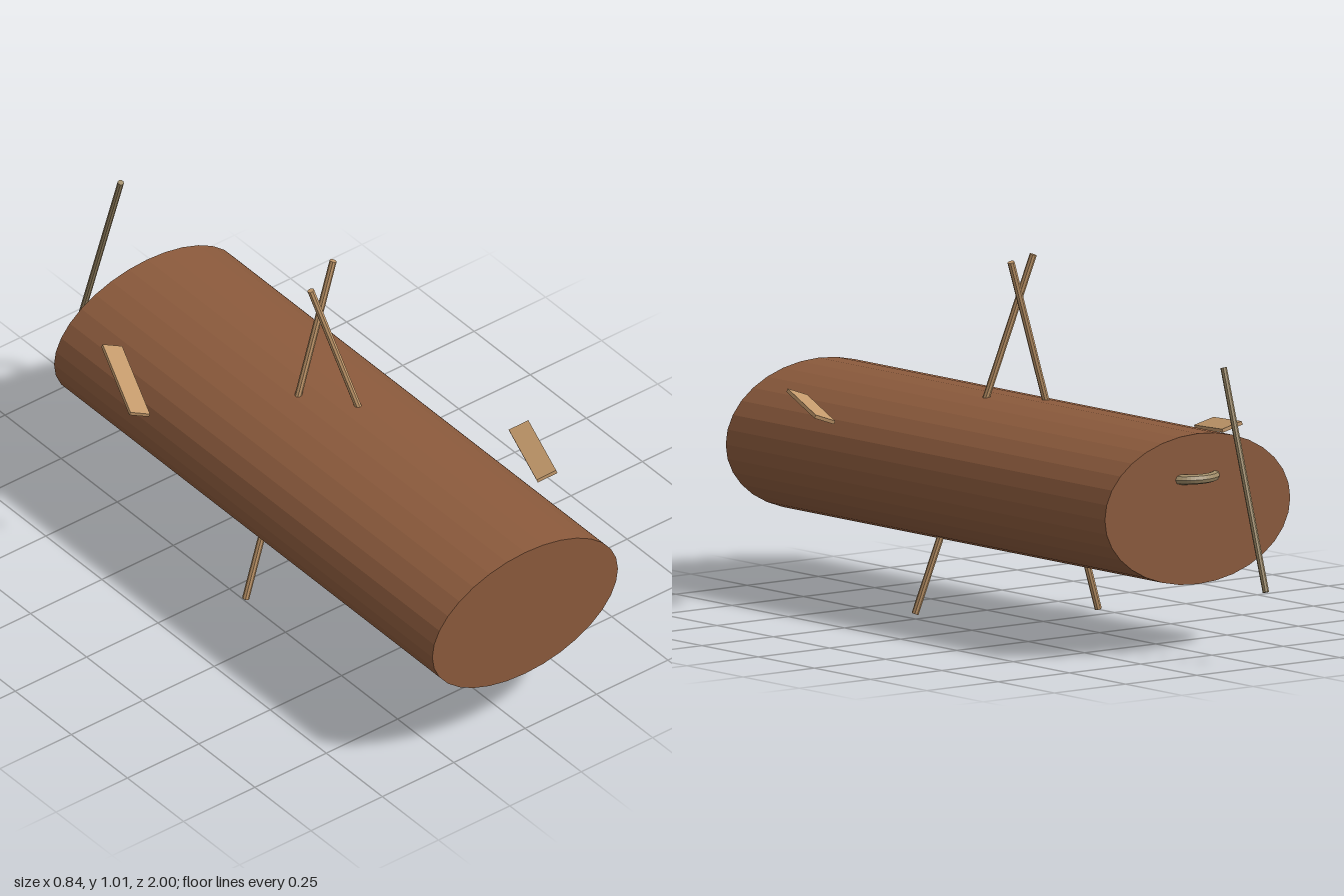
import * as THREE from 'three';

const material = (color) => new THREE.MeshStandardMaterial({ color, flatShading: true });
const bark = material(0x8b5a3c);
const wood = material(0xc49a6c);
const paleWood = material(0xa08c68);

// Straight round stick between two points
function stick(name, from, to, radius, mat) {
  const a = new THREE.Vector3(...from);
  const b = new THREE.Vector3(...to);
  const dir = b.clone().sub(a);
  const mesh = new THREE.Mesh(new THREE.CylinderGeometry(radius, radius, dir.length(), 8), mat);
  mesh.position.copy(a).add(b).multiplyScalar(0.5);
  mesh.quaternion.setFromUnitVectors(new THREE.Vector3(0, 1, 0), dir.normalize());
  mesh.name = name;
  return mesh;
}

// Thin tilted board, turned half round for the other side
function plank(name, position, turn) {
  const along = new THREE.Vector3(-0.105, 0.031, 0.258).normalize();
  const up = along.clone().cross(new THREE.Vector3(0.054, 0.02, 0.02)).normalize();
  const across = up.clone().cross(along);
  const geometry = new THREE.BoxGeometry(0.06, 0.01, 0.28);
  geometry.applyMatrix4(new THREE.Matrix4().makeBasis(across, up, along));
  const mesh = new THREE.Mesh(geometry, wood);
  mesh.position.set(...position);
  mesh.rotation.y = turn;
  mesh.name = name;
  return mesh;
}

export function createModel() {
  const group = new THREE.Group();

  // Oval log lying along z
  const logGeometry = new THREE.CylinderGeometry(1, 1, 1.686, 32);
  logGeometry.rotateX(Math.PI / 2);
  logGeometry.scale(0.325, 0.21, 1);
  const log = new THREE.Mesh(logGeometry, bark);
  log.position.set(0, 0.4, 0.157);
  log.name = 'log';
  group.add(log);

  // Crossed poles through the log
  group.add(stick('crossedPoleFront', [0.205, 0.003, 0.31], [-0.05, 1.005, 0.108], 0.01, wood));
  group.add(stick('crossedPoleBack', [-0.244, 0.003, 0.065], [0.082, 1.005, 0.04], 0.01, wood));

  // Boards beside the log
  group.add(plank('leftBoard', [0.342, 0.558, 0.6], 0));
  group.add(plank('rightBoard', [-0.342, 0.558, -0.345], Math.PI));

  // Loose pole behind the log
  group.add(stick('rearPole', [0, 0.205, -0.99], [0, 0.808, -0.802], 0.009, paleWood));

  // Curved handle on the back end
  const arc = THREE.MathUtils.degToRad(110);
  const handleGeometry = new THREE.TorusGeometry(0.083, 0.014, 8, 16, arc);
  handleGeometry.rotateZ((Math.PI - arc) / 2);
  handleGeometry.rotateX(-Math.PI / 2);
  const handle = new THREE.Mesh(handleGeometry, paleWood);
  handle.position.set(0, 0.487, -0.628);
  handle.name = 'backHandle';
  group.add(handle);

  return group;
}
